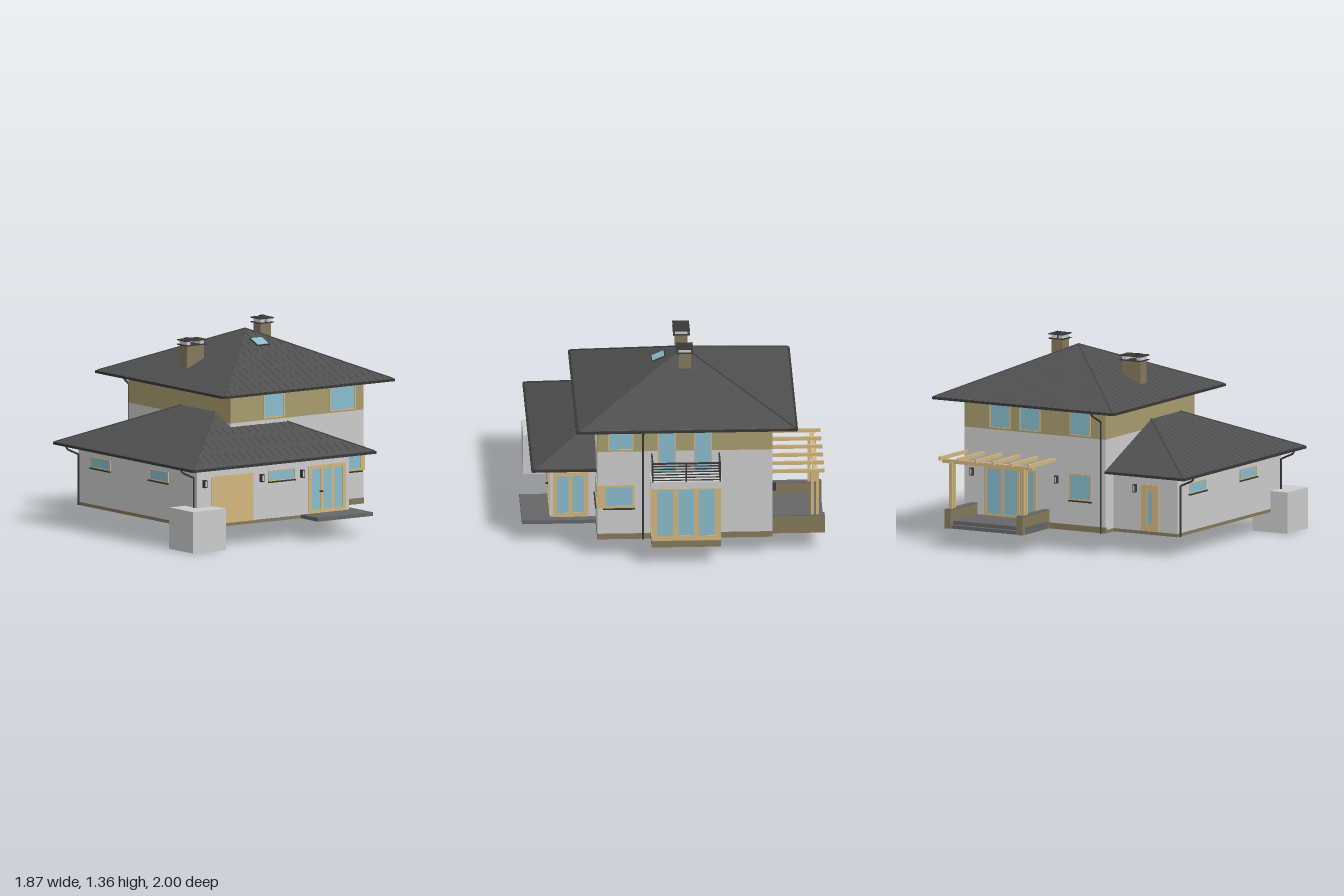
import * as THREE from 'three';

const mat = (color, side = THREE.FrontSide) => new THREE.MeshStandardMaterial({ color, side });
const M = {
  wall: mat(0xcccccc), olive: mat(0xa79c6f), wood: mat(0xd2b67e), glass: mat(0x88bccd),
  roof: mat(0x4f4f4f, THREE.DoubleSide), rib: mat(0x4a4a4a), dark: mat(0x383838),
  plinth: mat(0x85795c), soffit: mat(0x6b6248), paving: mat(0x666666),
};

export function createModel() {
  const root = new THREE.Group();

  const add = (name, geo, m, parent = root) => {
    const mesh = new THREE.Mesh(geo, m);
    mesh.name = name;
    parent.add(mesh);
    return mesh;
  };
  // Box given by its limits on each axis
  const box = (name, m, x0, x1, y0, y1, z0, z1, parent = root) => {
    const b = add(name, new THREE.BoxGeometry(x1 - x0, y1 - y0, z1 - z0), m, parent);
    b.position.set((x0 + x1) / 2, (y0 + y1) / 2, (z0 + z1) / 2);
  };
  // Square bar between two points
  const bar = (name, m, a, b, t, parent = root) => {
    const p = new THREE.Vector3(...a), q = new THREE.Vector3(...b);
    const mesh = add(name, new THREE.BoxGeometry(t, t, p.distanceTo(q)), m, parent);
    mesh.position.copy(p).add(q).multiplyScalar(0.5);
    mesh.lookAt(q);
  };
  const rect = (x0, x1, z0, z1) => [[x0, z0], [x1, z0], [x1, z1], [x0, z1]];
  const vecs = pts => pts.map(p => new THREE.Vector2(...p));
  // Plan outline (with an optional opening) raised from y0 to y1
  const ring = (name, m, outer, inner, y0, y1) => {
    const s = new THREE.Shape(vecs(outer));
    if (inner) s.holes.push(new THREE.Path(vecs(inner)));
    const g = new THREE.ExtrudeGeometry(s, { depth: y1 - y0, bevelEnabled: false }).rotateX(Math.PI / 2);
    add(name, g, m).position.y = y1;
  };

  // Ground floor: one outline round house and wing, inset by i
  const ground = i => [
    [-0.81 + i, -0.54 + i], [-0.32 + i, -0.54 + i], [-0.32 + i, -0.65 + i], [0.765 - i, -0.65 + i],
    [0.765 - i, 0.51 - i], [0.43 - i, 0.51 - i], [0.43 - i, 0.81 - i], [-0.81 + i, 0.81 - i]];
  ring('plinth', M.plinth, ground(0.002), ground(0.022), 0.135, 0.157);
  ring('groundWalls', M.wall, ground(0), ground(0.022), 0.157, 0.54);
  [[0.43, 0.766, 0.49, 0.511], [0.745, 0.766, -0.651, 0.511], [-0.321, 0.766, -0.651, -0.63]].forEach(
    ([a, b, c, d]) => box('highPlinth', M.plinth, a, b, 0.135, 0.175, c, d));

  // Upper floor
  const mainOut = rect(-0.32, 0.765, -0.65, 0.51), mainIn = rect(-0.298, 0.743, -0.628, 0.488);
  ring('upperWalls', M.wall, mainOut, mainIn, 0.54, 0.765);
  ring('upperWallBand', M.olive, mainOut, mainIn, 0.765, 0.96);

  // Roof slopes: each a fan of corner points, wound to face up
  const slope = (name, pts) => {
    const [o, p, q] = pts.map(c => new THREE.Vector3(...c));
    const up = p.clone().sub(o).cross(q.clone().sub(o)).y > 0;
    const pos = [];
    for (let i = 1; i < pts.length - 1; i++)
      pos.push(...pts[0], ...pts[up ? i : i + 1], ...pts[up ? i + 1 : i]);
    const g = new THREE.BufferGeometry();
    g.setAttribute('position', new THREE.Float32BufferAttribute(pos, 3));
    g.computeVertexNormals();
    add(name, g, M.roof);
  };
  // Tile ribs running up from the eave a-b; k is run per unit of distance from a hip corner
  const ribs = (a, b, n, y, pitch, k, limit, openEnd = false) => {
    const grp = new THREE.Group();
    grp.name = 'tileRibs';
    root.add(grp);
    const len = Math.hypot(b[0] - a[0], b[1] - a[1]), count = Math.round(len / 0.06);
    for (let i = 1; i < count; i++) {
      const t = i / count, d = openEnd ? t * len : Math.min(t, 1 - t) * len;
      const run = Math.min(d * k, limit);
      const x = a[0] + (b[0] - a[0]) * t, z = a[1] + (b[1] - a[1]) * t;
      bar('tileRib', M.roof, [x, y, z], [x + n[0] * run, y + run * pitch, z + n[1] * run], 0.004, grp);
    }
  };

  // Main hipped roof with gutters just outside the eaves
  const Y = 0.977, apex = [0.22, 1.285, -0.08];
  const corners = rect(-0.465, 0.905, -0.8, 0.64), gutters = rect(-0.473, 0.915, -0.806, 0.648);
  const inward = [[0, 1], [-1, 0], [0, -1], [1, 0]];
  corners.forEach((c, i) => {
    const d = corners[(i + 1) % 4], u = gutters[i], v = gutters[(i + 1) % 4];
    const run = i % 2 ? 0.685 : 0.72, half = i % 2 ? 0.72 : 0.685;
    slope('mainRoofSlope', [[c[0], Y, c[1]], [d[0], Y, d[1]], apex]);
    ribs(c, d, inward[i], Y, 0.308 / run, run / half, run);
    bar('hipCap', M.rib, [c[0], Y, c[1]], apex, 0.01);
    bar('mainGutter', M.dark, [u[0], 0.967, u[1]], [v[0], 0.967, v[1]], 0.016);
  });
  ring('mainSoffit', M.soffit, corners, mainIn, 0.957, 0.974);

  // Lower roof wrapping the wing, cut off at the main walls
  const [E, P] = [0.555, 0.445];
  const lo = (x, z, run) => [x, E + run * P, z];
  const A = lo(-0.92, 0.925, 0), B = lo(0.555, 0.925, 0), C = lo(0.555, 0.51, 0), F = lo(-0.92, -0.65, 0), T = lo(-0.32, -0.65, 0);
  const Pt = lo(0.14, 0.51, 0.415), Q = lo(-0.32, 0.51, 0.415), R = lo(-0.32, 0.325, 0.6), S = lo(-0.32, -0.05, 0.6);
  slope('lowerRoofFront', [A, B, Pt, Q, R]);
  slope('lowerRoofRight', [B, C, Pt]);
  slope('lowerRoofLeft', [A, R, S, F]);
  slope('lowerRoofBack', [F, S, T]);
  ribs([-0.92, 0.925], [0.555, 0.925], [0, -1], E, P, 1, 0.415);
  ribs([0.555, 0.925], [0.555, 0.51], [-1, 0], E, P, 1, 0.415, true);
  ribs([-0.92, 0.925], [-0.92, -0.65], [1, 0], E, P, 1, 0.6);
  ribs([-0.92, -0.65], [-0.32, -0.65], [0, 1], E, P, 1, 0.6, true);
  [[A, R], [B, Pt], [F, S]].forEach(([p, q]) => bar('lowerHipCap', M.rib, p, q, 0.01));
  const lowerEdge = [[-0.32, -0.655], [-0.927, -0.655], [-0.927, 0.932], [0.56, 0.932], [0.56, 0.51]];
  for (let i = 0; i < 4; i++) {
    const [p, q] = [lowerEdge[i], lowerEdge[i + 1]];
    bar('lowerGutter', M.dark, [p[0], 0.546, p[1]], [q[0], 0.546, q[1]], 0.016);
  }
  ring('wingCeiling', M.roof, [F, T, Q, C, B, A].map(p => [p[0], p[2]]), null, 0.536, 0.552);

  // Openings: framed panes set through a wall; c is the centre along the wall
  const faces = { front: 0, right: Math.PI / 2, back: Math.PI, left: -Math.PI / 2 };
  const opening = (name, face, plane, c, w, y0, y1, panes = 1, m = 0.008, sill = false) => {
    const g = new THREE.Group(), h = y1 - y0, pw = (w - m * (panes + 1)) / panes;
    g.name = name;
    g.rotation.y = faces[face];
    if (face === 'front' || face === 'back') g.position.set(c, y0, plane);
    else g.position.set(plane, y0, c);
    root.add(g);
    const s = new THREE.Shape(vecs(rect(-w / 2, w / 2, 0, h)));
    for (let i = 0; i < panes; i++) {
      const x = -w / 2 + m + i * (pw + m);
      s.holes.push(new THREE.Path(vecs(rect(x, x + pw, m, h - m))));
    }
    add('frame', new THREE.ExtrudeGeometry(s, { depth: 0.034, bevelEnabled: false }), M.wood, g).position.z = -0.028;
    box('glass', M.glass, -w / 2 + 0.003, w / 2 - 0.003, 0.003, h - 0.003, -0.025, 0.002, g);
    if (sill) box('sill', M.dark, -w / 2 - 0.003, w / 2 + 0.003, -0.009, 0, -0.01, 0.015, g);
  };
  opening('upperWindow', 'front', 0.51, 0.033, 0.168, 0.775, 0.94);
  opening('upperWindow', 'front', 0.51, 0.593, 0.21, 0.775, 0.94);
  opening('upperWindow', 'right', 0.765, 0.355, 0.17, 0.775, 0.94);
  [0.05, -0.19].forEach(z => opening('balconyDoor', 'right', 0.765, z, 0.122, 0.61, 0.943));
  [0.49, 0.26, -0.13].forEach(x => opening('upperWindow', 'back', -0.65, x, 0.16, 0.775, 0.94));
  opening('cornerWindow', 'front', 0.51, 0.615, 0.262, 0.36, 0.525, 1, 0.013, true);
  opening('cornerWindow', 'right', 0.765, 0.367, 0.205, 0.36, 0.525, 1, 0.016, true);
  box('cornerWindowPost', M.wood, 0.738, 0.771, 0.36, 0.525, 0.458, 0.516);
  opening('wingWindow', 'front', 0.81, -0.122, 0.215, 0.405, 0.478, 1, 0.006, true);
  [-0.28, 0.38].forEach(z => opening('wingWindow', 'left', -0.81, z, 0.22, 0.405, 0.478, 1, 0.006, true));
  opening('entryDoor', 'front', 0.81, 0.25, 0.3, 0.16, 0.48, 3, 0.024);
  opening('entrySideWindow', 'right', 0.43, 0.675, 0.235, 0.16, 0.48, 2, 0.028);
  opening('patioDoor', 'back', -0.65, 0.41, 0.4, 0.18, 0.52, 3, 0.02);
  opening('groundWindow', 'back', -0.65, -0.13, 0.17, 0.34, 0.52, 1, 0.01, true);
  opening('sideDoor', 'back', -0.54, -0.6, 0.13, 0.16, 0.47, 1, 0.045);
  box('doorHandle', M.dark, 0.19, 0.205, 0.3, 0.31, 0.81, 0.832);

  // Garage door of horizontal slats
  for (let i = 0; i < 9; i++)
    box('garageSlat', M.wood, -0.69, -0.35, 0.158 + i * 0.0353, 0.19 + i * 0.0353, 0.8, 0.813);
  box('garageDoorPanel', M.wood, -0.69, -0.35, 0.156, 0.475, 0.784, 0.8115);

  // Bay with glazing, carrying the balcony
  box('bayPlinth', M.plinth, 0.765, 0.918, 0.135, 0.18, -0.302, 0.157);
  box('bayCore', M.wood, 0.765, 0.912, 0.18, 0.56, -0.297, 0.152);
  opening('bayWindow', 'right', 0.912, -0.072, 0.445, 0.182, 0.58, 3, 0.034);
  opening('bayWindow', 'front', 0.152, 0.842, 0.145, 0.182, 0.575, 1, 0.022);
  opening('bayWindow', 'back', -0.297, 0.842, 0.145, 0.182, 0.575, 1, 0.022);
  box('balconySlab', M.wall, 0.765, 0.93, 0.56, 0.61, -0.308, 0.163);
  for (let i = 0; i < 7; i++) {
    const y = 0.622 + i * 0.02, t = i === 6 ? 0.01 : 0.006;
    [-0.297, 0.15].forEach(z => bar('balconyRail', M.dark, [0.765, y, z], [0.928, y, z], t));
    bar('balconyRail', M.dark, [0.928, y, -0.297], [0.928, y, 0.15], t);
  }
  [-0.297, -0.073, 0.15].forEach(z => bar('balconyPost', M.dark, [0.928, 0.61, z], [0.928, 0.745, z], 0.01));

  // Chimneys with open caps; fx is the flue position
  const chimney = (x0, x1, y, z0, z1, fx) => {
    const o = 0.014;
    box('chimneyStack', M.plinth, x0, x1, 1.0, y, z0, z1);
    box('chimneyPlate', M.dark, x0 - o, x1 + o, y, y + 0.006, z0 - o, z1 + o);
    [[x0, x0 + 0.03], [x1 - 0.03, x1]].forEach(([a, b]) => box('chimneyVent', M.wall, a, b, y + 0.006, y + 0.03, z0, z1));
    box('chimneyCap', M.dark, x0 - o, x1 + o, y + 0.03, y + 0.037, z0 - o, z1 + o);
    box('chimneyFlue', M.dark, fx - 0.01, fx + 0.01, y + 0.006, y + 0.042, -0.103, -0.083);
    box('flueLid', M.dark, fx - 0.016, fx + 0.016, y + 0.042, y + 0.048, -0.108, -0.078);
  };
  chimney(-0.28, -0.14, 1.213, -0.125, -0.042, -0.245);
  chimney(0.32, 0.405, 1.312, -0.125, -0.042, 0.37);

  // Skylight on the front slope
  const sky = new THREE.Group();
  sky.name = 'skylight';
  sky.position.set(0.22, 1.215, 0.085);
  sky.rotation.x = Math.atan(0.308 / 0.72);
  root.add(sky);
  box('skylightFrame', M.dark, -0.052, 0.052, -0.01, 0.006, -0.05, 0.05, sky);
  box('skylightGlass', M.glass, -0.045, 0.045, 0, 0.008, -0.043, 0.043, sky);

  // Downpipes: eave, wall, foot
  const pipe = (...pts) => {
    const path = new THREE.CurvePath();
    const v = pts.map(p => new THREE.Vector3(...p));
    for (let i = 1; i < v.length; i++) path.add(new THREE.LineCurve3(v[i - 1], v[i]));
    add('downpipe', new THREE.TubeGeometry(path, 48, 0.0065, 8), M.dark);
  };
  pipe([0.915, 0.963, 0.21], [0.912, 0.945, 0.21], [0.778, 0.887, 0.21], [0.778, 0.137, 0.21]);
  pipe([-0.3, 0.963, -0.803], [-0.3, 0.945, -0.795], [-0.3, 0.887, -0.675], [-0.3, 0.137, -0.675]);
  pipe([-0.925, 0.542, 0.79], [-0.915, 0.52, 0.79], [-0.822, 0.478, 0.79], [-0.822, 0.137, 0.79]);
  pipe([-0.925, 0.542, -0.52], [-0.915, 0.52, -0.52], [-0.822, 0.478, -0.52], [-0.822, 0.137, -0.52]);

  // Wall lamps
  const lamp = (x, y, z) => {
    box('lampBody', M.dark, x - 0.011, x + 0.011, y - 0.026, y + 0.026, z - 0.014, z + 0.014);
    box('lampGlass', M.wall, x - 0.006, x + 0.006, y - 0.019, y + 0.019, z - 0.016, z + 0.016);
  };
  [-0.755, -0.29, 0.04].forEach(x => lamp(x, 0.435, 0.823));
  [0.05, 0.7].forEach(x => lamp(x, 0.47, -0.662));
  lamp(-0.49, 0.44, -0.552);

  // Entrance step and corner block
  ring('entranceStep', M.paving, [[0.04, 0.81], [0.43, 0.81], [0.43, 0.51], [0.49, 0.51], [0.49, 1], [0.04, 1]], null, 0.135, 0.16);
  box('cornerBlock', M.wall, -0.94, -0.67, 0, 0.277, 0.675, 0.945);

  // Terrace with low walls and pergola
  box('terraceFloor', M.paving, 0.11, 0.705, 0.137, 0.185, -0.965, -0.65);
  box('terraceStep', M.paving, 0.155, 0.66, 0.137, 0.16, -0.998, -0.965);
  [[0.11, 0.155], [0.665, 0.71]].forEach(([a, b]) => {
    box('terraceWall', M.plinth, a, b, 0.135, 0.258, -1, -0.65);
    box('terraceWallCap', M.paving, a, b, 0.258, 0.263, -1, -0.65);
    const c = (a + b) / 2;
    [-0.953, -0.918].forEach(z => box('pergolaPost', M.wood, c - 0.012, c + 0.012, 0.262, 0.575, z - 0.01, z + 0.01));
  });
  box('pergolaBeam', M.wood, 0.06, 0.757, 0.565, 0.59, -0.952, -0.92);
  for (let i = 0; i < 6; i++) {
    const x = 0.069 + i * 0.136;
    box('pergolaRafter', M.wood, x - 0.008, x + 0.008, 0.588, 0.612, -0.998, -0.65);
  }
  return root;
}
